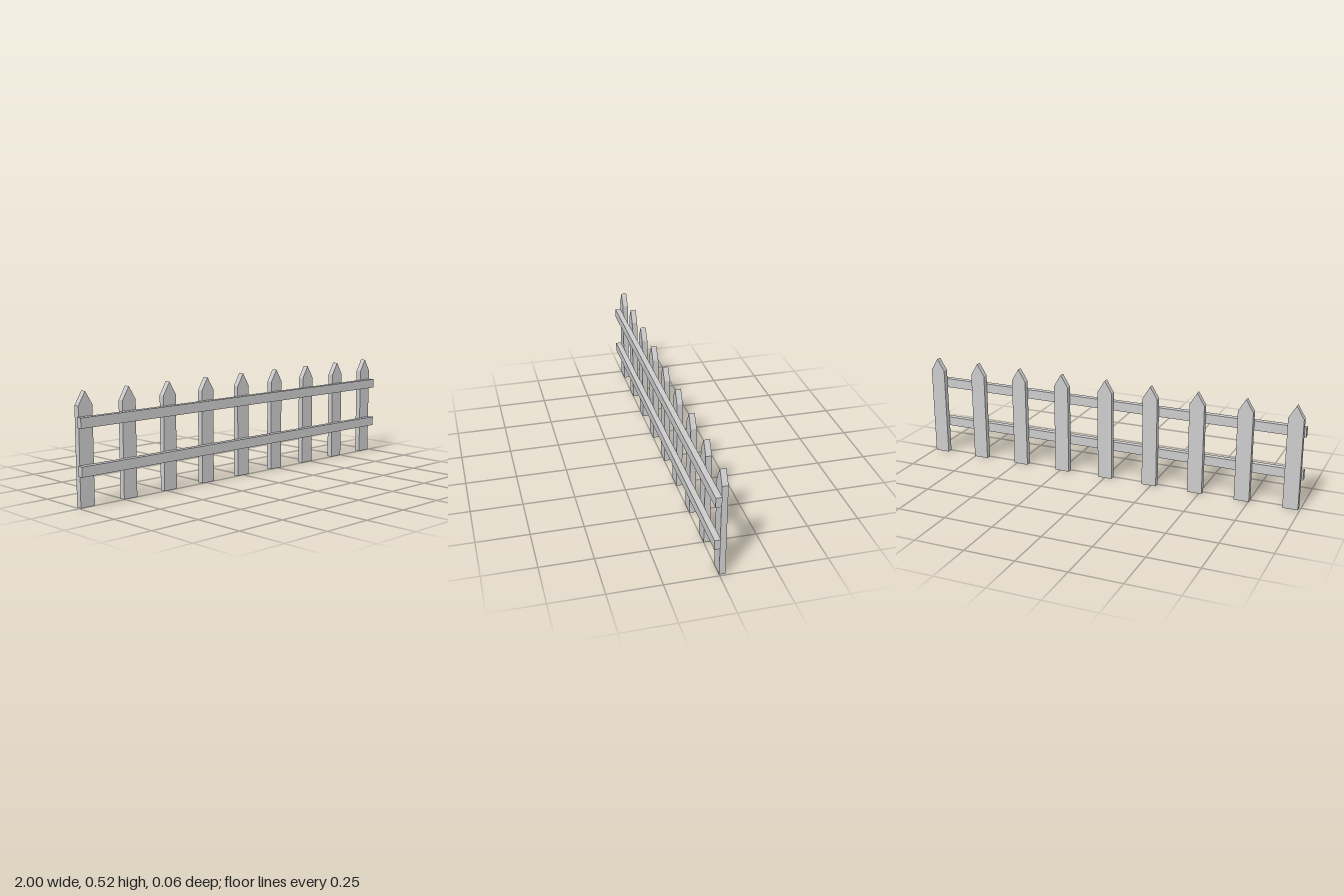
import * as THREE from 'three';

const PICKETS = 9, SPACING = 0.2385;
const HALF_WIDTH = 0.0375, SHOULDER = 0.454, TIP = 0.516, DEPTH = 0.028;

export function createModel() {
  const fence = new THREE.Group();
  fence.name = 'picketFence';
  const wood = new THREE.MeshStandardMaterial({ color: 0xcccccc, flatShading: true });

  // Pointed board shared by every picket, standing behind the rails
  const outline = new THREE.Shape([
    new THREE.Vector2(-HALF_WIDTH, 0),
    new THREE.Vector2(HALF_WIDTH, 0),
    new THREE.Vector2(HALF_WIDTH, SHOULDER),
    new THREE.Vector2(0, TIP),
    new THREE.Vector2(-HALF_WIDTH, SHOULDER),
  ]);
  const board = new THREE.ExtrudeGeometry(outline, { depth: DEPTH, bevelEnabled: false });
  board.translate(0, 0, -DEPTH);
  for (let i = 0; i < PICKETS; i++) {
    const picket = new THREE.Mesh(board, wood);
    picket.name = `picket${i + 1}`;
    picket.position.x = (i - (PICKETS - 1) / 2) * SPACING;
    fence.add(picket);
  }

  // Two horizontal rails across the front
  const bar = new THREE.BoxGeometry(2, 0.047, DEPTH);
  for (const [name, y] of [['lowerRail', 0.167], ['upperRail', 0.382]]) {
    const rail = new THREE.Mesh(bar, wood);
    rail.name = name;
    rail.position.set(0, y, DEPTH / 2);
    fence.add(rail);
  }
  return fence;
}
